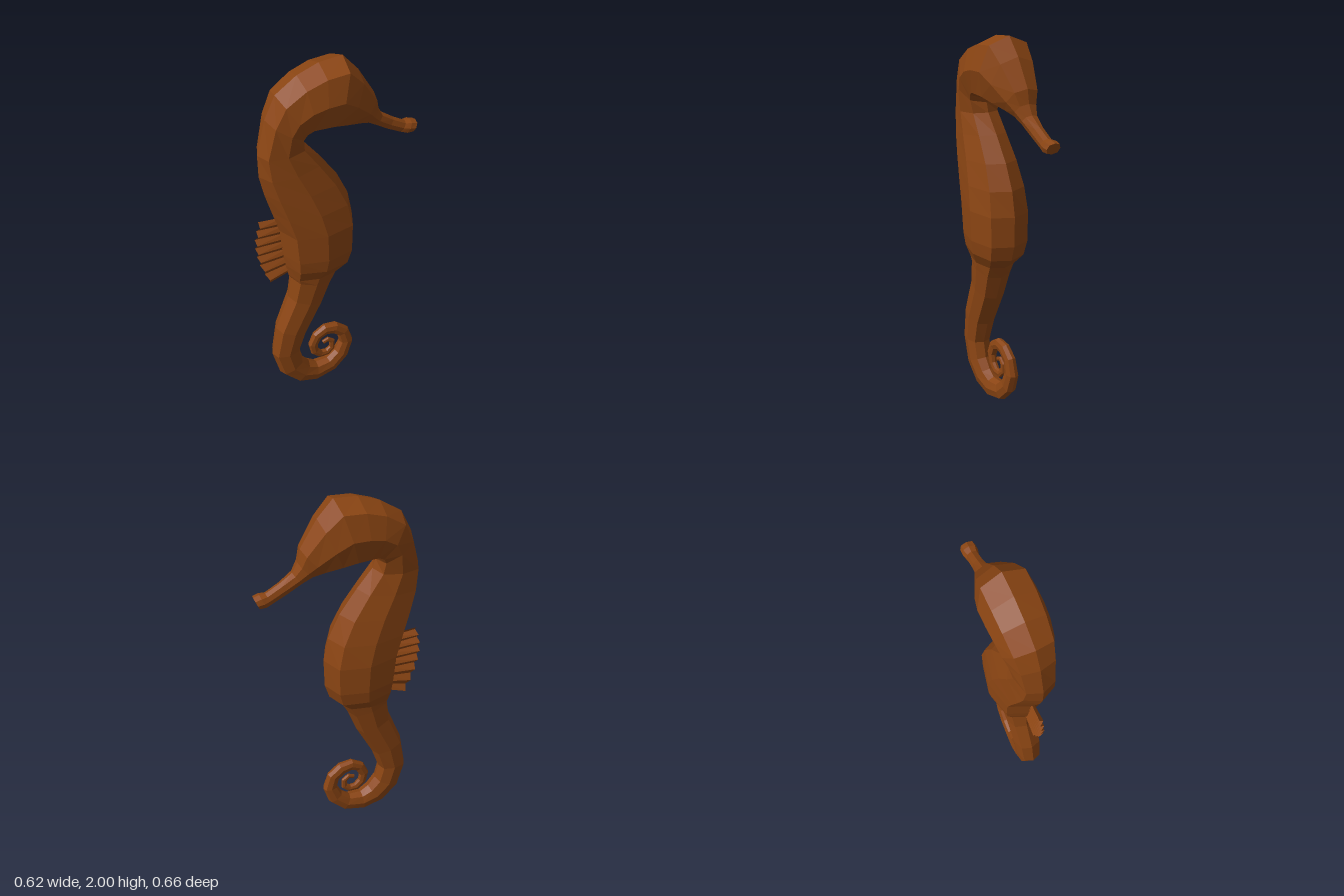
import * as THREE from 'three';

const material = new THREE.MeshStandardMaterial({ color: 0x8b4513, flatShading: true, side: THREE.DoubleSide });

// Eight-sided section between a back point and a front point, with a half width
function ring([bu, by, fu, fy, w]) {
  const cu = (bu + fu) / 2, cy = (by + fy) / 2;
  const au = bu - cu, ay = by - cy;
  const corner = 0.76;
  const unit = [[1, 0], [corner, corner], [0, 1], [-corner, corner], [-1, 0], [-corner, -corner], [0, -1], [corner, -corner]];
  return unit.map(([a, s]) => [cu + au * a, cy + ay * a, w * s]);
}

// Skin over a list of rings, with optional end caps
function loft(name, rings, capStart, capEnd) {
  const n = 8, pos = rings.flat(2), index = [];
  for (let r = 0; r < rings.length - 1; r++) {
    for (let i = 0; i < n; i++) {
      const j = (i + 1) % n, a = r * n, b = a + n;
      index.push(a + i, b + i, b + j, a + i, b + j, a + j);
    }
  }
  const last = (rings.length - 1) * n;
  for (let i = 1; i < n - 1; i++) {
    if (capStart) index.push(0, i, i + 1);
    if (capEnd) index.push(last, last + i + 1, last + i);
  }
  return mesh(name, pos, index);
}

function mesh(name, pos, index) {
  const geometry = new THREE.BufferGeometry();
  geometry.setAttribute('position', new THREE.Float32BufferAttribute(pos, 3));
  geometry.setIndex(index);
  geometry.computeVertexNormals();
  const m = new THREE.Mesh(geometry, material);
  m.name = name;
  return m;
}

// Sections: back x, back y, front x, front y, half width
const snoutSections = [
  [0.43, 1.555, 0.405, 1.498, 0.038],
  [0.40, 1.565, 0.37, 1.498, 0.039],
  [0.37, 1.565, 0.335, 1.512, 0.031],
  [0.30, 1.605, 0.26, 1.55, 0.032],
  [0.235, 1.65, 0.19, 1.595, 0.042],
  [0.208, 1.70, 0.14, 1.625, 0.06],
];
const headSections = [
  snoutSections[5],
  [0.195, 1.77, 0.08, 1.64, 0.085],
  [0.11, 1.91, 0.0, 1.65, 0.12],
  [0.03, 2.0, -0.07, 1.66, 0.14],
  [-0.09, 1.99, -0.12, 1.665, 0.14],
  [-0.2, 1.95, -0.155, 1.67, 0.135],
  [-0.31, 1.875, -0.175, 1.66, 0.125],
  [-0.365, 1.76, -0.185, 1.64, 0.11],
];
const bodySections = [
  headSections[7],
  [-0.41, 1.58, -0.17, 1.59, 0.095],
  [-0.408, 1.46, -0.09, 1.49, 0.105],
  [-0.385, 1.35, -0.0, 1.36, 0.12],
  [-0.35, 1.23, 0.06, 1.23, 0.135],
  [-0.315, 1.11, 0.085, 1.10, 0.145],
  [-0.30, 0.95, 0.08, 0.94, 0.142],
  [-0.29, 0.88, 0.055, 0.86, 0.13],
  [-0.275, 0.81, -0.01, 0.80, 0.095],
];

// Tail centre line: x, y, radius
const tailPath = [
  [-0.155, 0.76, 0.112], [-0.19, 0.63, 0.098], [-0.275, 0.44, 0.088], [-0.31, 0.29, 0.077],
  [-0.28, 0.17, 0.074], [-0.215, 0.095, 0.068], [-0.135, 0.06, 0.058], [-0.04, 0.075, 0.05],
  [0.025, 0.135, 0.045], [0.055, 0.215, 0.04], [0.035, 0.29, 0.036], [-0.015, 0.333, 0.035],
  [-0.07, 0.343, 0.032], [-0.12, 0.315, 0.029], [-0.145, 0.26, 0.027], [-0.135, 0.205, 0.024],
  [-0.10, 0.17, 0.022], [-0.06, 0.168, 0.02], [-0.03, 0.195, 0.018], [-0.03, 0.238, 0.016],
  [-0.055, 0.26, 0.014], [-0.085, 0.248, 0.012],
];

function tailSections() {
  return tailPath.map(([u, y, r], i) => {
    const p = tailPath[Math.max(i - 1, 0)], q = tailPath[Math.min(i + 1, tailPath.length - 1)];
    const du = q[0] - p[0], dy = q[1] - p[1], len = Math.hypot(du, dy);
    const nu = dy / len * r, ny = -du / len * r;
    return [u + nu, y + ny, u - nu, y - ny, r * 0.8];
  });
}

// Pleated fan standing on the back
function dorsalFin() {
  const outer = new THREE.CatmullRomCurve3([[-0.42, 1.19], [-0.445, 1.07], [-0.43, 0.94], [-0.375, 0.785]]
    .map(([u, y]) => new THREE.Vector3(u, y, 0)));
  const root = new THREE.LineCurve3(new THREE.Vector3(-0.29, 1.18, 0), new THREE.Vector3(-0.25, 0.83, 0));
  const pos = [], index = [], pleats = 14;
  for (let i = 0; i <= pleats; i++) {
    const t = i / pleats, fold = i % 2 ? 0.011 : -0.011;
    const o = outer.getPoint(t), r = root.getPoint(t);
    pos.push(r.x, r.y, fold * 0.6, o.x + (i % 2 ? 0.006 : 0), o.y, fold);
    if (i < pleats) {
      const a = i * 2;
      index.push(a, a + 1, a + 3, a, a + 3, a + 2);
    }
  }
  return mesh('dorsalFin', pos, index);
}

export function createModel() {
  const group = new THREE.Group();
  group.name = 'seahorse';
  const bodyRings = bodySections.map(ring);
  group.add(
    loft('snout', snoutSections.map(ring), true, false),
    loft('head', headSections.map(ring), false, false),
    loft('body', bodyRings, false, false),
    loft('tail', [bodyRings[bodyRings.length - 1], ...tailSections().map(ring)], false, true),
    dorsalFin(),
  );
  // The animal looks diagonally to its left and back
  group.rotation.y = 0.823;
  return group;
}
